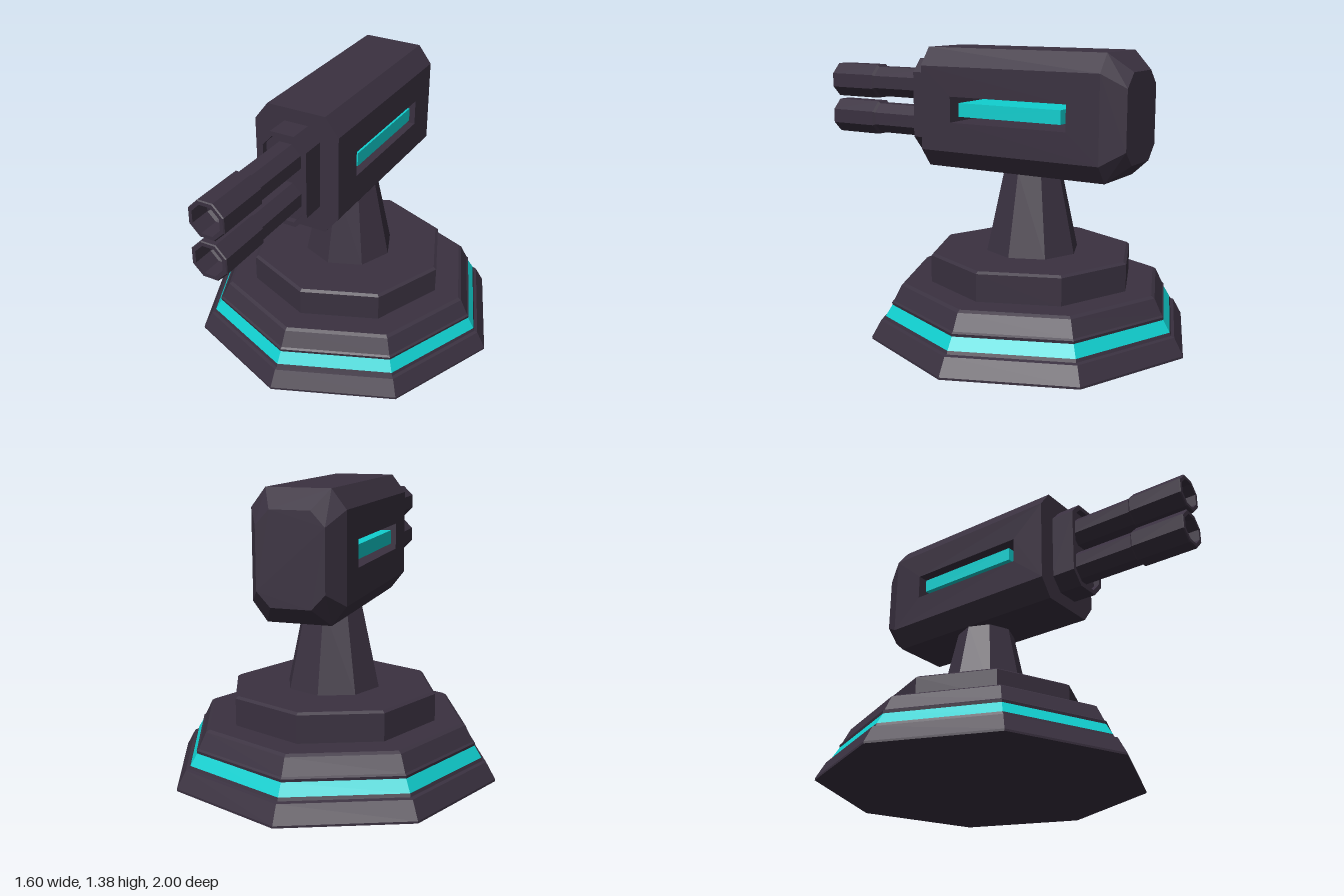
import * as THREE from 'three';
import { ConvexGeometry } from 'three/addons/geometries/ConvexGeometry.js';

export function createModel() {
  const hull = new THREE.MeshStandardMaterial({ name: 'darkHull', color: 0x3a3140, flatShading: true });
  const glow = new THREE.MeshStandardMaterial({ name: 'cyanGlow', color: 0x10cfcf, flatShading: true });
  const model = new THREE.Group();
  model.name = 'turret';

  const add = (name, geometry, material = hull, parent = model) => {
    const mesh = new THREE.Mesh(geometry, material);
    mesh.name = name;
    parent.add(mesh);
    return mesh;
  };
  // Eight-sided turned part from [radius, height] pairs
  const turned = (profile) =>
    new THREE.LatheGeometry(profile.map(([r, y]) => new THREE.Vector2(r, y)), 8);
  // Chamfered rectangle: w, h are half sizes, fw, fh the half lengths of the straight edges
  const octagon = (w, h, fw, fh) => [
    [w, -fh], [w, fh], [fw, h], [-fw, h], [-w, fh], [-w, -fh], [-fw, -h], [fw, -h],
  ];
  const toVectors2 = (pts) => pts.map(([x, y]) => new THREE.Vector2(x, y));
  const at = (pts, z) => pts.map(([x, y]) => new THREE.Vector3(x, y, z));

  // Stepped octagonal base with a glowing band
  const base = new THREE.Group();
  base.name = 'base';
  base.position.z = -0.2;
  model.add(base);
  add('baseSkirt', turned([[0, 0], [0.8, 0], [0.8, 0.01], [0.755, 0.09], [0.738, 0.095], [0.732, 0.11]]), hull, base);
  add('baseGlowBand', turned([[0.732, 0.11], [0.698, 0.165]]), glow, base);
  add('baseShoulder', turned([[0.698, 0.165], [0.7, 0.178], [0.69, 0.185], [0.652, 0.26], [0.635, 0.27], [0, 0.27]]), hull, base);
  add('turntable', turned([[0.505, 0.265], [0.505, 0.4], [0.49, 0.41], [0, 0.41]]), hull, base);
  add('pedestal', turned([[0.23, 0.405], [0.142, 0.81]]), hull, base);

  // Gun housing: a slab with a slot right through, chamfered top and bottom, tapered back
  const head = new THREE.Group();
  head.name = 'gunHousing';
  head.position.y = 1.0925;
  model.add(head);
  const W = 0.215, H = 0.2925, FW = 0.148, FH = 0.205, FRONT = 0.31, BACK = -0.655;
  const side = new THREE.Shape(toVectors2([[BACK, -FH], [FRONT, -FH], [FRONT, FH], [BACK, FH]]));
  side.holes.push(new THREE.Path(toVectors2([[-0.49, -0.0625], [-0.49, 0.0625], [0.14, 0.0625], [0.14, -0.0625]])));
  const slab = new THREE.ExtrudeGeometry(side, { depth: 2 * W, bevelEnabled: false });
  slab.rotateY(-Math.PI / 2).translate(W, 0, 0);
  add('housingSides', slab, hull, head);
  for (const s of [1, -1]) {
    const section = [[W, s * FH], [FW, s * H], [-FW, s * H], [-W, s * FH]];
    add(s > 0 ? 'housingTop' : 'housingBottom',
      new ConvexGeometry([...at(section, FRONT), ...at(section, BACK)]), hull, head);
  }
  add('housingBack', new ConvexGeometry([
    ...at(octagon(W, H, FW, FH), BACK), ...at(octagon(0.155, 0.208, 0.092, 0.14), -0.76),
  ]), hull, head);

  // Glowing bar showing on both sides of the slot
  add('sideLight', new THREE.BoxGeometry(0.4, 0.066, 0.555).translate(0, 0, -0.1775), glow, head);

  // Hollow collar around the barrels
  const rim = new THREE.Shape(toVectors2(octagon(0.12, 0.228, 0.06, 0.163)));
  rim.holes.push(new THREE.Path(toVectors2(octagon(0.1, 0.206, 0.05, 0.152).reverse())));
  add('collar', new THREE.ExtrudeGeometry(rim, { depth: 0.13, bevelEnabled: false }).translate(0, 0, 0.3), hull, head);
  add('collarPlate', new ConvexGeometry([
    ...at(octagon(0.105, 0.21, 0.052, 0.155), 0.3), ...at(octagon(0.105, 0.21, 0.052, 0.155), 0.4),
  ]), hull, head);

  // Twin barrels with thicker, bored muzzles
  const k = 1 / Math.cos(Math.PI / 8);
  const barrel = turned([
    [0.076, 0.38], [0.076, 0.72], [0.0865, 0.73], [0.0865, 0.995], [0.082, 1],
    [0.066, 1], [0.066, 0.9], [0.052, 0.88], [0.052, 0.76], [0, 0.76],
  ].map(([r, y]) => [r * k, y]));
  barrel.rotateY(Math.PI / 8).rotateX(Math.PI / 2);
  for (const s of [1, -1]) {
    add(s > 0 ? 'upperBarrel' : 'lowerBarrel', barrel, hull, head).position.y = s * 0.096;
  }

  return model;
}
